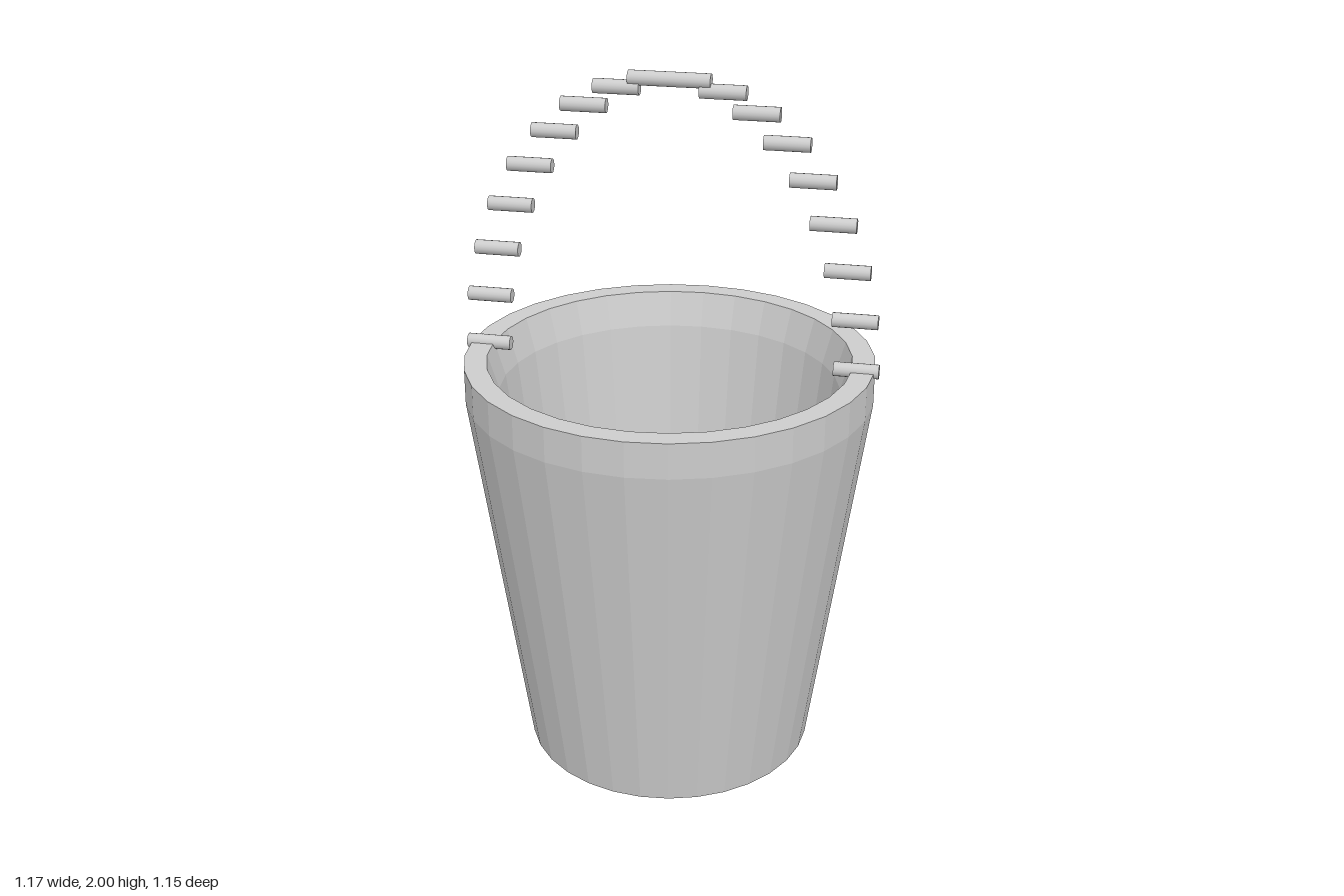
import * as THREE from 'three';

const SIDES = 32;

// Gives every face its own normal
function faceted(geometry) {
  const g = geometry.toNonIndexed();
  g.computeVertexNormals();
  return g;
}

export function createModel() {
  const model = new THREE.Group();
  model.name = 'bucket';
  const metal = new THREE.MeshStandardMaterial({ color: 0xcccccc });
  metal.name = 'grey metal';

  // Hollow tapered body: underside, wall, straight rim band, lip, inner wall, floor
  const profile = [
    [0, 0], [0.418, 0], [0.573, 1.1], [0.573, 1.2],
    [0.51, 1.2], [0.48, 1.1], [0.355, 0.06], [0, 0.06],
  ].map(([r, y]) => new THREE.Vector2(r, y));
  const body = new THREE.Mesh(faceted(new THREE.LatheGeometry(profile, SIDES)), metal);
  body.name = 'bucketBody';
  model.add(body);

  // Handle: a row of short level rods spaced along an arch
  const handle = new THREE.Group();
  handle.name = 'handle';
  const rod = new THREE.CylinderGeometry(0.02, 0.02, 0.125, 16);
  rod.rotateZ(Math.PI / 2);
  const count = 18;
  for (let i = 0; i < count; i++) {
    const a = (i / (count - 1)) * Math.PI;
    const piece = new THREE.Mesh(rod, metal);
    piece.name = `handleRod${i + 1}`;
    piece.position.set(0.522 * Math.cos(a), 1.2 + 0.783 * Math.sin(a), 0);
    handle.add(piece);
  }
  model.add(handle);

  return model;
}
